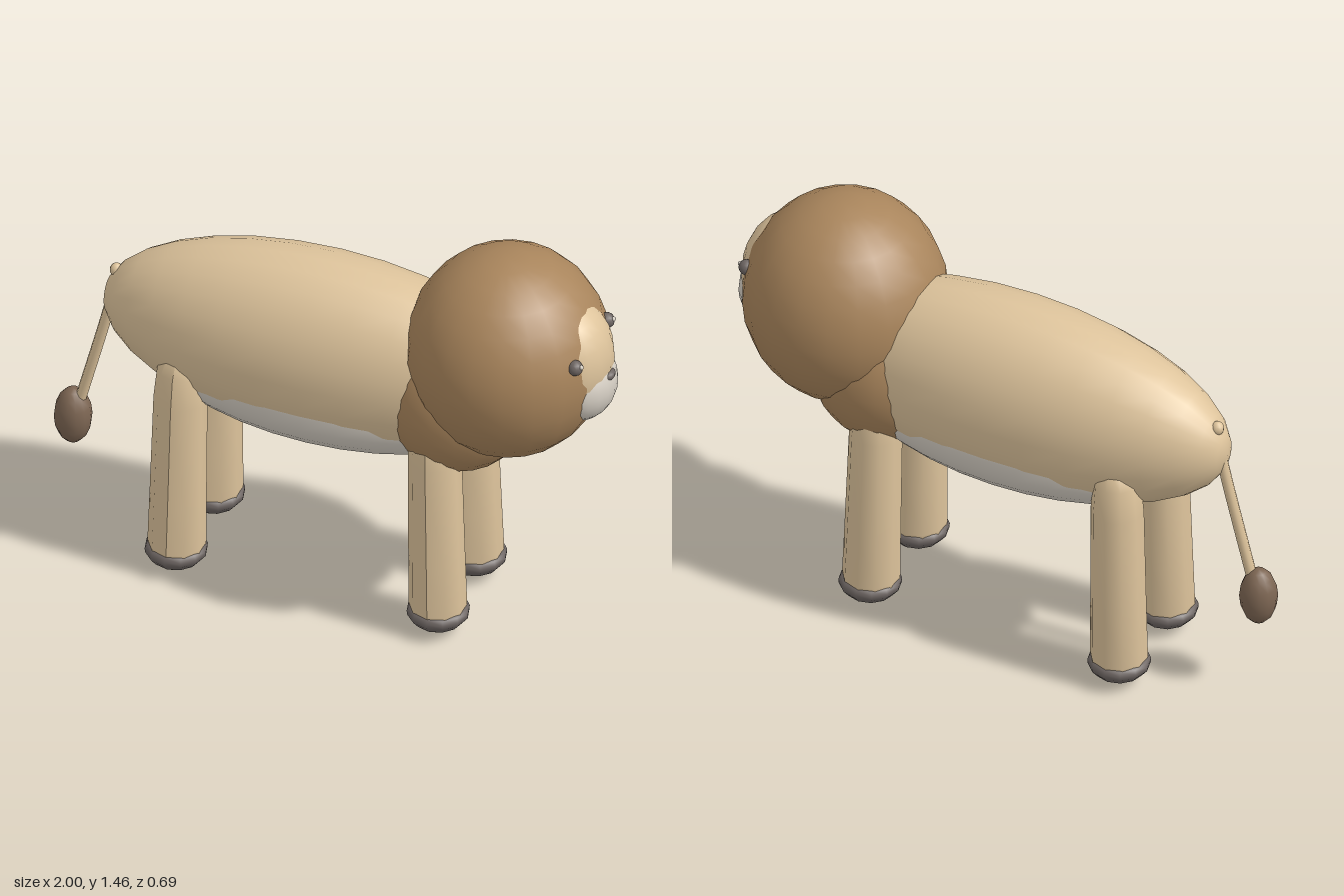
import * as THREE from 'three';

const paint = (name, color) => {
  const m = new THREE.MeshStandardMaterial({ color });
  m.name = name;
  return m;
};

export function createModel() {
  const lion = new THREE.Group();
  lion.name = 'lion';
  const tan = paint('tan fur', 0xdec49c);
  const brown = paint('brown mane', 0xa9855c);
  const cream = paint('pale fur', 0xd6cfc4);
  const dark = paint('dark grey', 0x6d6562);
  const umber = paint('tail tuft brown', 0x7d6653);

  const add = (name, geometry, material, x = 0, y = 0, z = 0) => {
    const mesh = new THREE.Mesh(geometry, material);
    mesh.name = name;
    mesh.position.set(x, y, z);
    lion.add(mesh);
    return mesh;
  };
  const ellipsoid = (name, material, [x, y, z], [rx, ry, rz], segs = 20) =>
    add(name, new THREE.SphereGeometry(1, segs, Math.round(segs * 0.7)).scale(rx, ry, rz), material, x, y, z);
  const lathe = (points, segs) =>
    new THREE.LatheGeometry(points.map(([r, y]) => new THREE.Vector2(r, y)), segs);

  // Torso, with poles along its length
  const torso = new THREE.SphereGeometry(1, 24, 16).rotateZ(Math.PI / 2).scale(0.79, 0.345, 0.275);
  add('body', torso, tan, -0.03, 0.935, 0);
  const belly = new THREE.SphereGeometry(1, 24, 16).rotateZ(Math.PI / 2).scale(0.63, 0.215, 0.255);
  add('belly', belly, cream, -0.03, 0.802, 0);

  // Mane and head
  ellipsoid('chestMane', brown, [0.45, 0.9, 0], [0.27, 0.297, 0.28]);
  ellipsoid('mane', brown, [0.62, 1.095, 0], [0.345, 0.373, 0.347]);
  ellipsoid('face', tan, [0.82, 1.12, 0], [0.166, 0.222, 0.18]);
  ellipsoid('muzzle', cream, [0.88, 1.037, 0], [0.121, 0.135, 0.14]);
  ellipsoid('nose', dark, [0.98, 1.088, 0], [0.02, 0.017, 0.032], 10);

  // Legs with a dark cuff around each paw
  const legProfile = [[0, 0.005], [0.045, 0.015], [0.075, 0.045], [0.096, 0.09], [0.098, 0.11],
    [0.095, 0.3], [0.09, 0.7], [0.08, 0.82], [0.05, 0.88], [0, 0.9]];
  const cuffProfile = [[0.06, 0.035], [0.085, 0.045], [0.105, 0.07], [0.106, 0.085], [0.1, 0.1], [0.085, 0.106]];
  for (const [place, x] of [['front', 0.436], ['rear', -0.5]]) {
    for (const [side, s] of [['Left', 1], ['Right', -1]]) {
      const leg = lathe(legProfile, 10);
      // Lean the top slightly inward
      const p = leg.attributes.position;
      for (let i = 0; i < p.count; i++) {
        const t = p.getY(i) / 0.9;
        p.setX(i, p.getX(i) + (x > 0 ? -0.02 : 0.015) * t);
        p.setZ(i, p.getZ(i) - s * 0.012 * t);
      }
      leg.computeVertexNormals();
      add(`${place}${side}Leg`, leg, tan, x, 0, s * 0.168);
      add(`${place}${side}Cuff`, lathe(cuffProfile, 12), dark, x, 0, s * 0.168);
    }
  }

  // Eyes with a pale glint
  for (const s of [1, -1]) {
    ellipsoid('eye', dark, [0.915, 1.195, s * 0.143], [0.027, 0.027, 0.027], 12);
    ellipsoid('eyeGlint', cream, [0.937, 1.204, s * 0.145], [0.009, 0.009, 0.009], 8);
  }

  // Tail
  const path = new THREE.CatmullRomCurve3([
    new THREE.Vector3(-0.775, 1.035, 0), new THREE.Vector3(-0.8, 0.9, 0), new THREE.Vector3(-0.915, 0.44, 0)]);
  add('tail', new THREE.TubeGeometry(path, 12, 0.019, 8), tan);
  ellipsoid('tailBase', tan, [-0.78, 1.035, 0], [0.023, 0.025, 0.023], 10);
  ellipsoid('tailTuft', umber, [-0.935, 0.393, 0], [0.065, 0.108, 0.065], 12);

  return lion;
}
